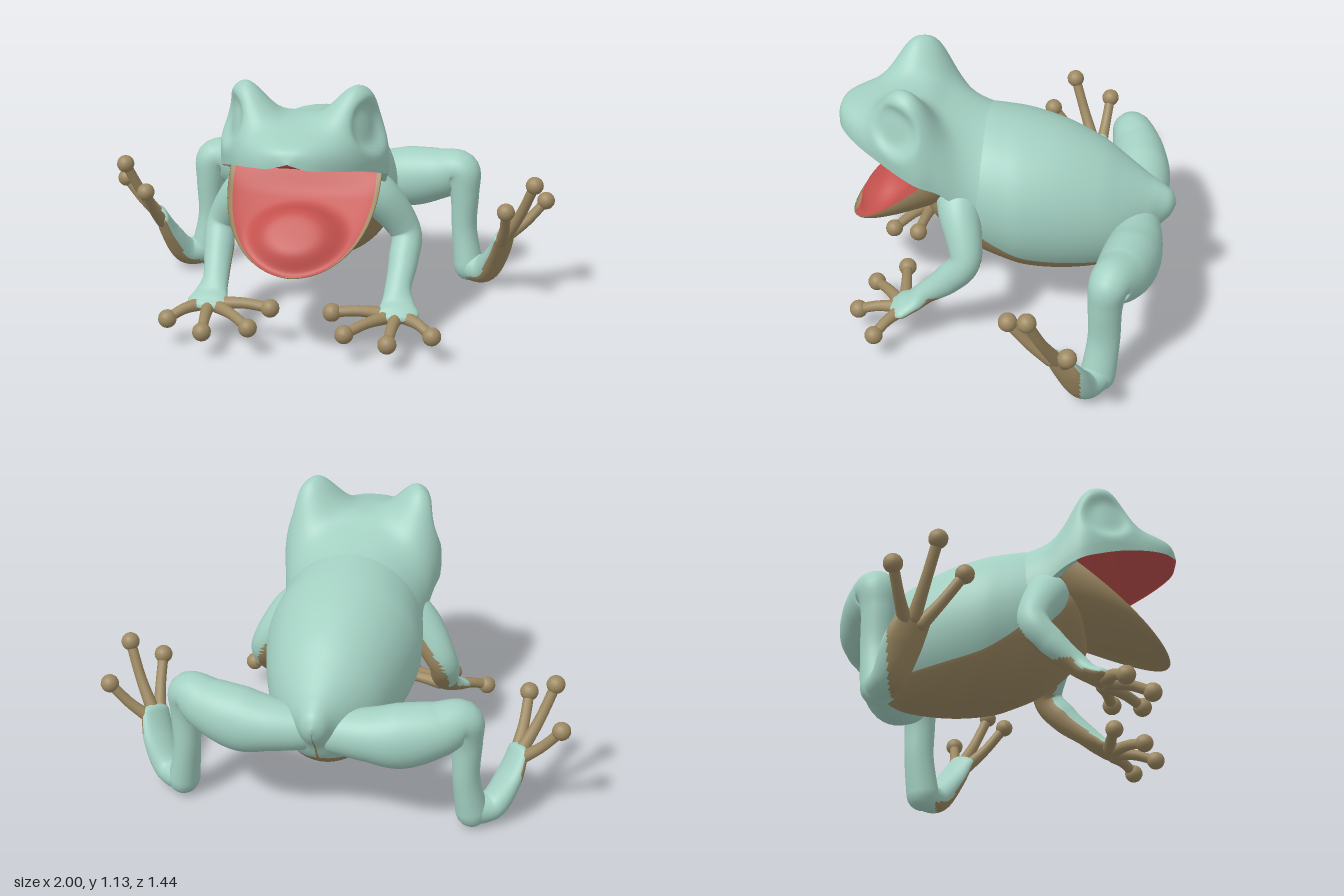
import * as THREE from 'three';

const skin = new THREE.MeshStandardMaterial({ color: 0xa3d0c2 });
skin.name = 'skin green';
const belly = new THREE.MeshStandardMaterial({ color: 0x9d8962 });
belly.name = 'belly brown';
const mouth = new THREE.MeshStandardMaterial({ color: 0xc4524e });
mouth.name = 'mouth red';
const palette = [skin, belly, mouth];
const SKIN = 0, BELLY = 1, MOUTH = 2;
const V = (x, y, z) => new THREE.Vector3(x, y, z);
const { smoothstep, lerp } = THREE.MathUtils;

// Smooth Catmull-Rom reading of a table of rows, t in 0..1
function sample(table, t) {
  const n = table.length - 1;
  const i = Math.min(n - 1, Math.floor(t * n)), f = t * n - i;
  const row = (k) => table[Math.max(0, Math.min(n, k))];
  return table[i].map((_, c) => {
    const a = row(i - 1)[c], b = row(i)[c], d = row(i + 1)[c], e = row(i + 2)[c];
    const m0 = (d - a) / 2, m1 = (e - b) / 2;
    return ((2 * f - 3) * f * f + 1) * b + ((f - 2) * f + 1) * f * m0
      + (3 - 2 * f) * f * f * d + (f - 1) * f * f * m1;
  });
}

// Skin of closed rings; paint() picks the colour of each quad
function skinRings(name, rows, cols, point, paint) {
  const pts = [], lists = [[], [], []];
  for (let i = 0; i <= rows; i++) for (let j = 0; j < cols; j++) pts.push(point(i / rows, j / cols, i));
  for (let i = 0; i < rows; i++) for (let j = 0; j < cols; j++) {
    const a = i * cols + j, b = i * cols + (j + 1) % cols, c = b + cols, d = a + cols;
    const normal = pts[c].clone().sub(pts[a]).cross(pts[d].clone().sub(pts[b])).normalize();
    const centre = pts[a].clone().add(pts[c]).multiplyScalar(0.5);
    lists[paint(i / rows, j, centre, normal)].push(a, b, c, a, c, d);
  }
  const geo = new THREE.BufferGeometry().setFromPoints(pts);
  geo.setIndex(lists.flat());
  let start = 0;
  lists.forEach((list, m) => {
    if (list.length) geo.addGroup(start, list.length, m);
    start += list.length;
  });
  geo.computeVertexNormals();
  const mesh = new THREE.Mesh(geo, palette);
  mesh.name = name;
  return mesh;
}

// Round-ended limb through rows of [x, y, z, radius, flatness]; ref is the flattened direction
function limb(name, path, ref, paint, body = 80, cols = 36) {
  const cap = 5, rows = body + 2 * cap;
  return skinRings(name, rows, cols, (u, v, i) => {
    const k = Math.max(0, Math.min(body, i - cap)) / body;
    const [x, y, z, r, flat] = sample(path, k);
    const p = sample(path, Math.max(0, k - 0.01)), q = sample(path, Math.min(1, k + 0.01));
    const t = V(q[0] - p[0], q[1] - p[1], q[2] - p[2]).normalize();
    const a = ref.clone().addScaledVector(t, -ref.dot(t)).normalize();
    const b = t.clone().cross(a);
    const end = (i < cap ? i - cap : Math.max(0, i - cap - body)) / cap * Math.PI / 2;
    const s = r * Math.max(0.01, Math.cos(end)), ang = v * Math.PI * 2;
    return V(x, y, z).addScaledVector(t, r * flat * Math.sin(end))
      .addScaledVector(a, s * flat * Math.cos(ang)).addScaledVector(b, s * Math.sin(ang));
  }, paint);
}

function makeTorso() {
  // z, half width, top, bottom, height of the belly colour
  const table = [
    [-0.722, 0.005, 0.54, 0.52, 0.5], [-0.7, 0.045, 0.585, 0.47, 0.45], [-0.65, 0.08, 0.62, 0.41, 0.38],
    [-0.6, 0.125, 0.65, 0.33, 0.33], [-0.5, 0.2, 0.72, 0.25, 0.31], [-0.4, 0.25, 0.79, 0.22, 0.32],
    [-0.25, 0.3, 0.86, 0.205, 0.34], [-0.1, 0.33, 0.9, 0.215, 0.37], [0, 0.325, 0.915, 0.243, 0.42],
    [0.1, 0.31, 0.922, 0.283, 0.49], [0.2, 0.29, 0.91, 0.353, 0.56], [0.28, 0.25, 0.77, 0.44, 0.67],
    [0.32, 0.17, 0.65, 0.5, 0.64], [0.335, 0.01, 0.6, 0.57, 0.59],
  ];
  return skinRings('torso', 70, 64, (u, v) => {
    const [z, w, top, bottom, line] = sample(table, u);
    const mid = (top + bottom) / 2, h = (top - bottom) / 2;
    const phi = Math.asin(Math.max(-0.999, Math.min(0.95, (line - mid) / h)));
    const ang = v < 0.5 ? phi + 2 * v * (Math.PI - 2 * phi)
      : Math.PI - phi + (2 * v - 1) * (Math.PI + 2 * phi);
    return V(w * Math.cos(ang), mid + h * Math.sin(ang), z);
  }, (u, j) => (j < 32 ? SKIN : BELLY));
}

function makeHead() {
  // z, half width, lip height, crown, arch of the underside
  const table = [
    [0, 0.315, 0.58, 0.905, -0.1], [0.08, 0.31, 0.6, 0.92, -0.1], [0.16, 0.312, 0.645, 0.94, -0.08],
    [0.25, 0.33, 0.71, 0.968, -0.02],
    [0.33, 0.345, 0.745, 1, 0.02], [0.4, 0.325, 0.77, 1.005, 0.03], [0.5, 0.275, 0.805, 0.995, 0.03],
    [0.6, 0.208, 0.833, 0.973, 0.02], [0.67, 0.14, 0.852, 0.952, 0.012], [0.705, 0.08, 0.862, 0.93, 0.006],
    [0.722, 0.003, 0.886, 0.889, 0],
  ];
  return skinRings('head', 100, 144, (u, v) => {
    const [z, w, lip, crown, arch] = sample(table, u);
    const c = Math.cos(v * Math.PI * 2), s = Math.sin(v * Math.PI * 2);
    const square = smoothstep(z, 0.05, 0.33);
    const p = V(Math.sign(c) * w * Math.abs(c) ** lerp(1, 0.7, square), lip - s * arch, z);
    if (s < 0) return p;
    p.y = lip + (crown - lip) * s ** lerp(1, 0.8, square);
    // raised eye bump, then the shallow hollow on its outer face
    const side = Math.sign(p.x), x = Math.abs(p.x);
    const r = ((x - 0.22 + 0.25 * (z - 0.405)) / 0.104) ** 2
      + ((z - 0.405) / (z < 0.405 ? 0.14 : 0.115)) ** 2;
    const g = s ** 0.3 * Math.exp(-(r ** 1.3));
    p.y += 0.16 * g;
    p.x += side * 0.035 * g;
    const d = ((p.y - 0.975) / 0.1) ** 2 + ((z - 0.435) / 0.095) ** 2;
    const hollow = Math.exp(-(d ** 3)) * smoothstep(Math.abs(p.x), 0.18, 0.28);
    p.x -= side * 0.038 * hollow;
    return p;
  }, (u, j, p) => (j >= 72 && (p.z > 0.31 || (p.z > 0.2 && Math.abs(p.x) < 0.29)) ? MOUTH : SKIN));
}

// Lower jaw with tongue, in a tilted frame running from the hinge to the chin
function makeJaw() {
  const hinge = V(0, 0.73, 0.32), up = V(0, 0.738, 0.675), out = V(0, -0.675, 0.738);
  const along = (u) => -0.12 + 1.12 * Math.sin(u * Math.PI / 2);
  return skinRings('lowerJaw', 60, 88, (u, v) => {
    const s = along(u), w = 0.315 * Math.sqrt(Math.max(0.0001, 1 - Math.max(0, s) ** 2.3));
    const ang = v * Math.PI * 2, x = w * Math.cos(ang);
    let h = Math.sin(ang) * Math.sqrt(w / 0.315);
    if (v < 0.5) {
      const d = (x / 0.18) ** 2 + ((s - 0.62) / 0.29) ** 2;
      h *= 0.085 * Math.exp(-(d ** 3)) - 0.035 * smoothstep(s, -0.12, 0.2);
    } else h *= 0.18 * (1 - s) + 0.035;
    return hinge.clone().addScaledVector(out, s * 0.485).addScaledVector(up, h).add(V(x, 0, 0));
  }, (u, j) => (j >= 5 && j < 39 && along(u) < 0.97 ? MOUTH : BELLY));
}

// Slender digit with a round pad at its tip
function makeDigit(name, from, tip, lift) {
  const group = new THREE.Group();
  group.name = name;
  const mid = from.map((c, i) => (c + tip[i]) / 2 + lift[i]);
  group.add(limb(name + 'Bone', [[...from, 0.029, 1], [...mid, 0.023, 1], [...tip, 0.022, 1]],
    V(0.3, 0.5, -0.8), () => BELLY, 12, 12));
  const pad = new THREE.Mesh(new THREE.SphereGeometry(0.039, 16, 12), belly);
  pad.name = name + 'Pad';
  pad.position.set(...tip);
  group.add(pad);
  return group;
}

function makeLimbs(side) {
  const group = new THREE.Group();
  const tag = side > 0 ? 'left' : 'right';
  group.name = tag + 'Limbs';
  const flip = (rows) => rows.map(([x, ...rest]) => [x * side, ...rest]);

  // Front leg and hand
  const under = V(-0.6 * side, -0.62, -0.5);
  group.add(limb(tag + 'FrontLeg', flip([
    [0.12, 0.68, 0.19, 0.1, 1], [0.275, 0.6, 0.17, 0.09, 1], [0.392, 0.437, 0.128, 0.067, 1],
    [0.397, 0.33, 0.2, 0.063, 1], [0.388, 0.24, 0.3, 0.055, 0.85], [0.395, 0.19, 0.36, 0.07, 0.5],
    [0.4, 0.167, 0.405, 0.088, 0.36], [0.402, 0.157, 0.43, 0.075, 0.34],
  ]), V(0, 1, 0), (u, j, p, n) => (p.y < 0.55 && (n.dot(under) > 0.5 || (p.y < 0.25 && n.y < -0.2)) ? BELLY : SKIN)));
  const fingers = [
    [[0.345, 0.16, 0.4], [0.13, 0.163, 0.43]], [[0.36, 0.153, 0.42], [0.2, 0.122, 0.555]],
    [[0.395, 0.152, 0.425], [0.383, 0.11, 0.6]], [[0.435, 0.155, 0.415], [0.553, 0.115, 0.5]],
  ];
  fingers.forEach((ends, i) => group.add(makeDigit(tag + 'Finger' + (i + 1), ...flip(ends), [0, 0.01, 0])));

  // Thigh and shin
  group.add(limb(tag + 'HindLeg', flip([
    [0.08, 0.45, -0.57, 0.095, 1], [0.2, 0.45, -0.57, 0.112, 1], [0.33, 0.45, -0.555, 0.137, 0.9],
    [0.47, 0.48, -0.525, 0.117, 0.95], [0.57, 0.508, -0.488, 0.087, 1], [0.59, 0.41, -0.475, 0.066, 1.08],
    [0.593, 0.24, -0.475, 0.057, 1.18], [0.618, 0.07, -0.458, 0.067, 1.1],
  ]), V(0, 0.01, 1), () => SKIN, 56));

  // Flat foot with its sole turned outward
  const sole = V(0.8 * side, -0.42, 0.42);
  group.add(limb(tag + 'Foot', flip([
    [0.618, 0.07, -0.458, 0.067, 1], [0.7, 0.076, -0.405, 0.07, 0.85], [0.758, 0.185, -0.35, 0.08, 0.55],
    [0.785, 0.285, -0.3, 0.07, 0.4],
  ]), sole, (u, j, p, n) => (p.z > -0.4 && n.dot(sole) > 0.1 ? BELLY : SKIN), 90));
  const toes = [
    [[0.795, 0.265, -0.335], [0.961, 0.432, -0.36]], [[0.795, 0.28, -0.3], [0.915, 0.553, -0.195]],
    [[0.775, 0.26, -0.275], [0.8, 0.455, -0.105]],
  ];
  toes.forEach((ends, i) => group.add(makeDigit(tag + 'Toe' + (i + 1), ...flip(ends), [0.005 * side, -0.01, 0])));
  return group;
}

export function createModel() {
  const model = new THREE.Group();
  model.name = 'frog';
  model.add(makeTorso(), makeHead(), makeJaw());
  for (const side of [1, -1]) model.add(makeLimbs(side));
  return model;
}
